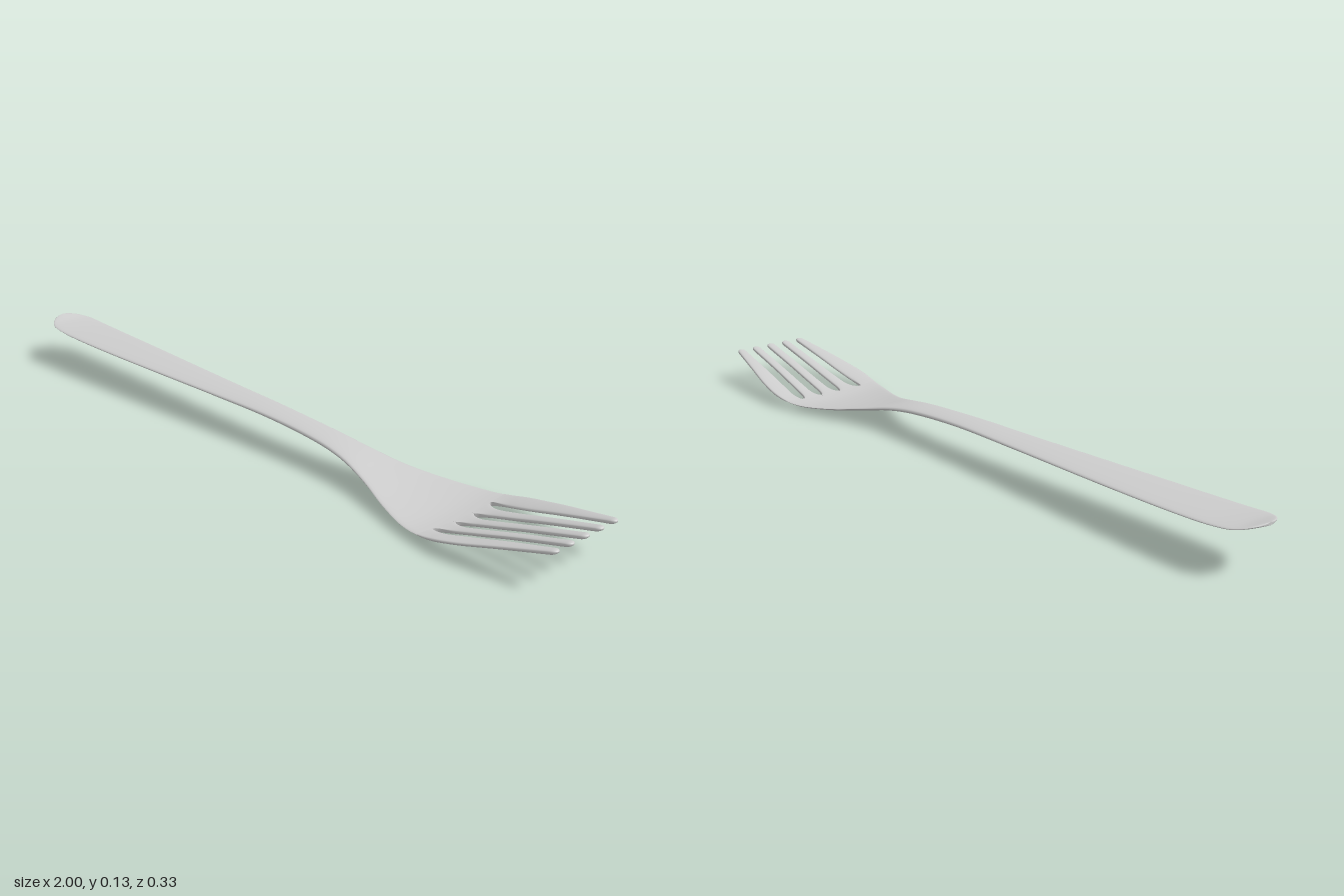
import * as THREE from 'three';

// Smooth curve through [x, value] points (cubic Hermite)
function curve(p) {
  const slope = i => {
    const a = p[Math.max(0, i - 1)], b = p[Math.min(p.length - 1, i + 1)];
    return (b[1] - a[1]) / (b[0] - a[0]);
  };
  return x => {
    let i = 0;
    while (i < p.length - 2 && x > p[i + 1][0]) i++;
    const d = p[i + 1][0] - p[i][0], t = (x - p[i][0]) / d, t2 = t * t, t3 = t2 * t;
    return (2 * t3 - 3 * t2 + 1) * p[i][1] + (t3 - 2 * t2 + t) * d * slope(i)
      + (3 * t2 - 2 * t3) * p[i + 1][1] + (t3 - t2) * d * slope(i + 1);
  };
}
const clamp = t => Math.min(1, Math.max(0, t));
const round = t => Math.sqrt(1 - (1 - clamp(t)) ** 2); // quarter-circle ease

const ROOT = 0.65;
const outline = curve([[-1, 0.066], [-0.9, 0.073], [-0.8, 0.073], [-0.6, 0.067], [-0.2, 0.049], [0.05, 0.041],
  [0.2, 0.043], [0.3, 0.052], [0.4, 0.077], [0.5, 0.116], [0.6, 0.15], [0.7, 0.165], [0.78, 0.159], [0.88, 0.141], [1, 0.118]]);
const halfWidth = x => outline(x) * round((x + 1) / 0.07);
const height = curve([[-1, 0.13], [-0.95, 0.118], [-0.85, 0.11], [-0.6, 0.104], [-0.2, 0.098], [0, 0.094], [0.2, 0.081],
  [0.3, 0.066], [0.4, 0.041], [0.5, 0.02], [0.6, 0.0085], [0.67, 0.013], [0.75, 0.032], [0.85, 0.059], [1, 0.097]]);
const halfThickness = curve([[-1, 0.004], [-0.8, 0.006], [-0.2, 0.007], [0.2, 0.009], [0.45, 0.007], [0.7, 0.0065], [1, 0.0065]]);
const dish = curve([[-1, 0], [0.25, 0], [0.45, 0.008], [0.65, 0.014], [0.8, 0.008], [1, 0]]);
const bulge = u => Math.max(0.02, Math.pow(Math.max(0, 1 - u * u), 0.32));

// Loft flattened sections along x; span(x) gives the two z edges
function loft(name, stations, span, material, tine) {
  const N = 14, ring = 2 * (N + 1), pos = [], index = [];
  for (const x of stations) {
    const [z0, z1] = span(x), W = halfWidth(x);
    const split = tine ? clamp((x - ROOT) / 0.05) : 0;
    const tip = tine ? Math.max(0.02, round((1 - x) / 0.014)) : 1;
    for (let k = 0; k < ring; k++) {
      const top = k <= N, u = Math.cos(Math.PI * (top ? k : ring - 1 - k) / N);
      const z = (z0 + z1) / 2 + u * (z1 - z0) / 2 * tip;
      const v = W > 0 ? z / W : 0;
      const h = halfThickness(x) * tip * THREE.MathUtils.lerp(bulge(v), bulge(u), split);
      pos.push(x, height(x) + dish(x) * v * v + (top ? h : -h), z);
    }
  }
  for (let s = 0; s < stations.length - 1; s++)
    for (let k = 0; k < ring; k++) {
      const a = s * ring + k, b = s * ring + (k + 1) % ring;
      index.push(a, a + ring, b, b, a + ring, b + ring);
    }
  const geo = new THREE.BufferGeometry();
  geo.setAttribute('position', new THREE.Float32BufferAttribute(pos, 3));
  geo.setIndex(index);
  geo.computeVertexNormals();
  const mesh = new THREE.Mesh(geo, material);
  mesh.name = name;
  return mesh;
}

export function createModel() {
  const group = new THREE.Group();
  group.name = 'fork';
  const metal = new THREE.MeshStandardMaterial({ color: 0xcccccc, side: THREE.DoubleSide });

  // Handle, neck and bowl in one sweep, with stations bunched at the rounded end
  const bodyX = [];
  for (let i = 0; i <= 12; i++) bodyX.push(-1 + 0.07 * (i / 12) ** 2);
  for (let i = 1; i <= 70; i++) bodyX.push(-0.93 + (ROOT + 0.93) * i / 70);
  group.add(loft('handleAndBowl', bodyX, x => [-halfWidth(x), halfWidth(x)], metal, false));

  // Four slots with rounded roots divide the head into five tines
  const slot = (side, root, from, to) => x => {
    const c = THREE.MathUtils.lerp(from, to, Math.sqrt(clamp((x - ROOT) / (1 - ROOT))));
    const g = 0.0145 * round((x - root) / 0.05);
    return [side * c - g, side * c + g];
  };
  const slots = [slot(-1, ROOT, 0.105, 0.081), slot(-1, 0.66, 0.034, 0.0275),
    slot(1, 0.66, 0.034, 0.0275), slot(1, ROOT, 0.105, 0.081)];
  const tineX = [];
  for (let i = 0; i <= 14; i++) tineX.push(ROOT + 0.06 * (i / 14) ** 2);
  for (let i = 1; i <= 24; i++) tineX.push(0.71 + 0.276 * i / 24);
  for (let i = 1; i <= 8; i++) tineX.push(1 - 0.014 * (1 - i / 8) ** 2);
  for (let i = 0; i < 5; i++) {
    const span = x => [i ? slots[i - 1](x)[1] : -halfWidth(x), i < 4 ? slots[i](x)[0] : halfWidth(x)];
    group.add(loft('tine' + (i + 1), tineX, span, metal, true));
  }
  return group;
}
